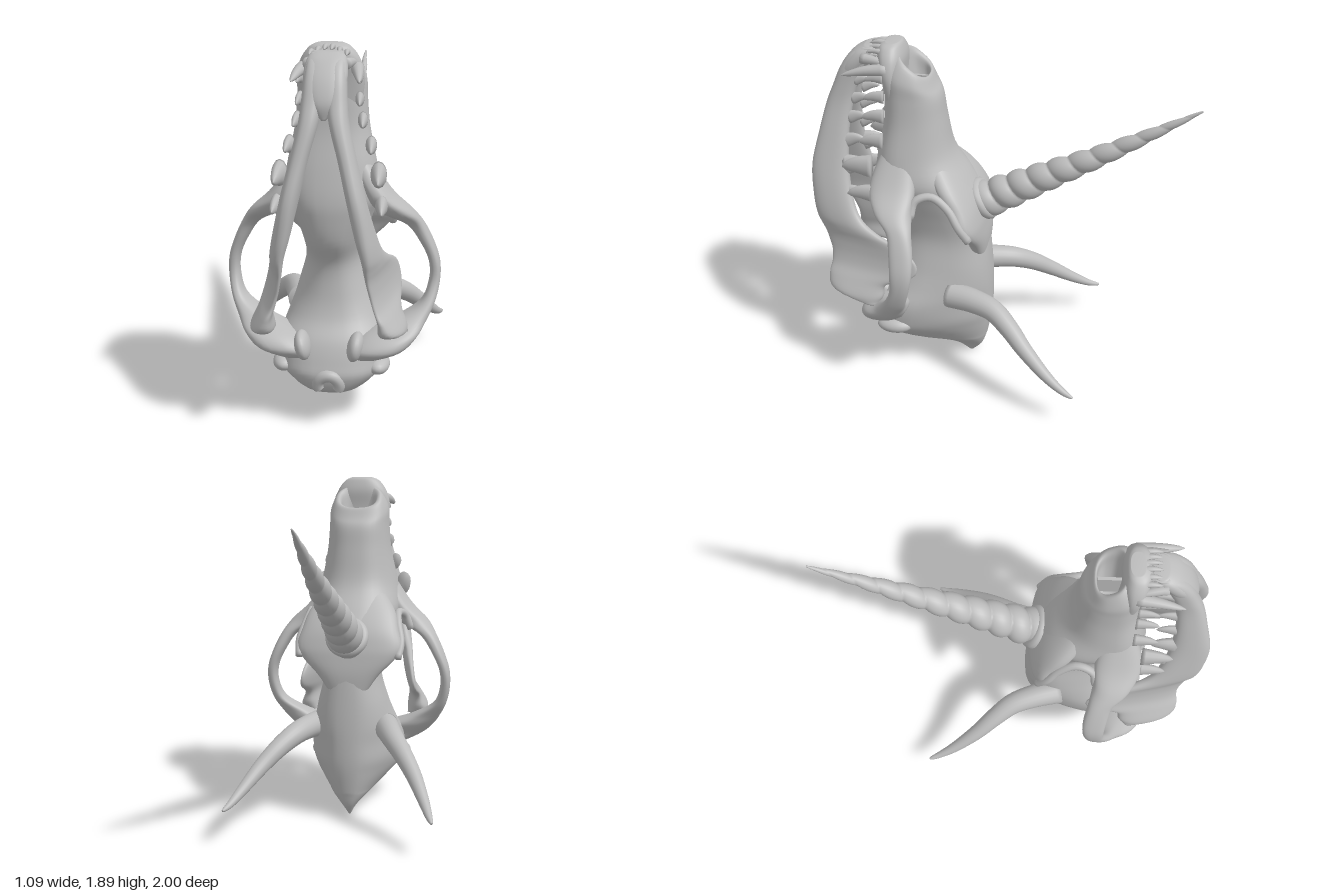
import * as THREE from 'three';

const bone = new THREE.MeshStandardMaterial({ color: 0xbcbcbc, side: THREE.DoubleSide });
bone.name = 'bone';

// Skin a list of closed rings, with fans closing both ends
function skin(rings) {
  const n = rings[0].length, pos = [], idx = [];
  const centre = r => r.reduce((a, p) => a.add(p), new THREE.Vector3()).divideScalar(n);
  rings.forEach(r => r.forEach(p => pos.push(p.x, p.y, p.z)));
  const last = rings.length - 1, c0 = rings.length * n;
  [centre(rings[0]), centre(rings[last])].forEach(p => pos.push(p.x, p.y, p.z));
  for (let j = 0; j < n; j++) {
    const k = (j + 1) % n;
    for (let i = 0; i < last; i++) {
      const a = i * n + j, b = a + n, c = i * n + k, d = c + n;
      idx.push(a, b, c, b, d, c);
    }
    idx.push(c0, j, k, c0 + 1, last * n + k, last * n + j);
  }
  const g = new THREE.BufferGeometry();
  g.setAttribute('position', new THREE.Float32BufferAttribute(pos, 3));
  g.setIndex(idx);
  g.computeVertexNormals();
  return g;
}

// Section: [y, centreX, zBack, zFront, halfWidth, taper, slope, lean]
function loft(sections, side = 1, steps = 5, n = 36) {
  const full = sections.map(s => Array.from({ length: 8 }, (_, i) => s[i] || 0));
  const at = i => full[Math.max(0, Math.min(full.length - 1, i))];
  const rings = [];
  for (let q = 0; q <= (full.length - 1) * steps; q++) {
    const i = Math.min(Math.floor(q / steps), full.length - 2), t = q / steps - i;
    const v = full[0].map((_, k) => {
      const a = at(i - 1)[k], b = at(i)[k], c = at(i + 1)[k], d = at(i + 2)[k];
      return b + 0.5 * t * (c - a + t * (2 * a - 5 * b + 4 * c - d + t * (3 * (b - c) + d - a)));
    });
    const [y, cx, zb, zf, rx, taper, slope, lean] = v;
    const ring = [], rz = (zf - zb) / 2;
    for (let j = 0; j < n; j++) {
      const th = j / n * Math.PI * 2, c = Math.cos(th), s = Math.sin(th);
      const px = Math.sign(c) * Math.abs(c) ** 0.82, pz = Math.sign(s) * Math.abs(s) ** 0.82;
      ring.push(new THREE.Vector3(side * (cx + lean * pz) + rx * px * (1 + taper * pz),
        y + slope * rz * pz, (zb + zf) / 2 + rz * pz));
    }
    rings.push(ring);
  }
  return skin(rings);
}

// Sweep a circle of radius(t, angle) along a smooth path
function sweep(points, radius, steps = 40, n = 20) {
  const curve = new THREE.CatmullRomCurve3(points.map(p => new THREE.Vector3(...p)));
  const f = curve.computeFrenetFrames(steps);
  const rings = [];
  for (let i = 0; i <= steps; i++) {
    const p = curve.getPointAt(i / steps), ring = [];
    for (let j = 0; j < n; j++) {
      const a = j / n * Math.PI * 2, r = radius(i / steps, a);
      ring.push(p.clone().addScaledVector(f.normals[i], r * Math.cos(a))
        .addScaledVector(f.binormals[i], -r * Math.sin(a)));
    }
    rings.push(ring);
  }
  return skin(rings);
}

export function createModel() {
  const model = new THREE.Group();
  const add = (name, geo) => {
    const m = new THREE.Mesh(geo, bone);
    m.name = name;
    model.add(m);
    return m;
  };
  const ball = (name, p, s) => {
    const m = add(name, new THREE.SphereGeometry(1, 20, 14));
    m.position.set(...p);
    m.scale.set(...s);
    return m;
  };
  // Curved tooth from base to tip; flat makes it a thin blade along the jaw
  const tooth = (name, base, tip, r, flat = 1) => {
    const mid = base.map((v, i) => (v + tip[i]) / 2);
    mid[1] += 0.008;
    const g = sweep([base, mid, tip], t => r * Math.sqrt(1 - t * 0.995), 8, 12);
    g.translate(-base[0], -base[1], -base[2]).scale(flat, 1, 1).translate(...base);
    add(name, g);
  };

  // Braincase and snout, ending in a folded-in nasal opening
  add('cranium', loft([
    [0, 0, 0.18, 0.2, 0.005], [0.06, 0, 0.125, 0.28, 0.04],
    [0.125, 0, 0.1, 0.42, 0.105, 0.1], [0.16, 0, 0.09, 0.66, 0.15, 0.15],
    [0.25, 0, 0.073, 0.725, 0.225, 0.28],
    [0.33, 0, 0.064, 0.715, 0.25, 0.25], [0.43, 0, 0.06, 0.68, 0.25, 0.25],
    [0.53, 0, 0.06, 0.62, 0.225, 0.1], [0.65, 0, 0.065, 0.59, 0.19, -0.05],
    [0.8, 0, 0.075, 0.59, 0.152, -0.12],
    [0.93, 0, 0.09, 0.66, 0.165, -0.1], [1.06, 0, 0.12, 0.685, 0.205],
    [1.16, 0, 0.175, 0.685, 0.238, 0.05], [1.3, 0, 0.263, 0.66, 0.215, 0.14],
    [1.48, 0, 0.3, 0.62, 0.18, 0.12], [1.62, 0, 0.318, 0.61, 0.168, 0.1, 0.1],
    [1.71, 0, 0.345, 0.6, 0.164, 0.05, 0.4], [1.775, 0, 0.37, 0.535, 0.13, 0, 0.8],
    [1.765, 0, 0.387, 0.52, 0.1, 0, 0.8], [1.68, 0, 0.39, 0.51, 0.088, 0, 0.7],
    [1.56, 0, 0.4, 0.5, 0.06]]));
  add('premaxilla', loft([
    [1.58, 0, 0.5, 0.6, 0.14], [1.72, 0, 0.505, 0.615, 0.162],
    [1.81, 0, 0.5, 0.635, 0.142], [1.87, 0, 0.515, 0.63, 0.1], [1.89, 0, 0.53, 0.6, 0.06]]));
  const septum = add('nasalSeptum', new THREE.BoxGeometry(0.016, 0.14, 0.12));
  septum.position.set(0, 1.64, 0.45);

  // Broad forehead over the eye sockets
  add('forehead', loft([
    [0.66, 0, 0.085, 0.17, 0.07], [0.8, 0, 0.073, 0.18, 0.16],
    [0.9, 0, 0.08, 0.2, 0.255], [0.97, 0, 0.092, 0.24, 0.293],
    [1.06, 0, 0.122, 0.28, 0.27], [1.16, 0, 0.185, 0.35, 0.238], [1.28, 0, 0.285, 0.42, 0.15]]));

  // Arched rim of the spinal opening at the skull base
  const rim = add('spinalOpening', new THREE.TorusGeometry(0.052, 0.032, 12, 24, Math.PI * 1.3));
  rim.position.set(0, 0.225, 0.7);
  rim.rotation.set(0.3, 0, -Math.PI * 0.15);

  for (const s of [1, -1]) {
    const side = s > 0 ? 'left' : 'right';

    add(side + 'CheekArch', loft([
      [0.35, 0.18, 0.5, 0.69, 0.08], [0.4, 0.23, 0.5, 0.74, 0.135],
      [0.46, 0.295, 0.47, 0.71, 0.135], [0.52, 0.385, 0.46, 0.62, 0.085],
      [0.6, 0.472, 0.43, 0.55, 0.038], [0.7, 0.505, 0.4, 0.5, 0.028],
      [0.8, 0.503, 0.38, 0.495, 0.028], [0.9, 0.465, 0.38, 0.505, 0.034],
      [1.0, 0.405, 0.4, 0.53, 0.046], [1.08, 0.31, 0.42, 0.62, 0.085],
      [1.18, 0.225, 0.42, 0.66, 0.066], [1.36, 0.125, 0.45, 0.6, 0.05]], s));

    add(side + 'BrowRidge', sweep([[s * 0.31, 1.04, 0.43], [s * 0.275, 1.12, 0.41],
      [s * 0.25, 1.14, 0.33], [s * 0.262, 1.08, 0.24], [s * 0.285, 0.99, 0.18],
      [s * 0.275, 0.91, 0.13]], () => 0.022, 24, 12));

    // Processes around the skull base
    ball(side + 'EarBulla', [s * 0.13, 0.42, 0.68], [0.04, 0.075, 0.085]).rotation.z = -s * 0.2;
    ball(side + 'Mastoid', [s * 0.235, 0.29, 0.57], [0.06, 0.045, 0.1]);

    // Side horn, curling back and down
    add(side + 'SideHorn', sweep([[s * 0.19, 0.505, 0.26], [s * 0.23, 0.507, 0.12],
      [s * 0.275, 0.49, 0], [s * 0.34, 0.435, -0.1], [s * 0.41, 0.355, -0.2],
      [s * 0.485, 0.25, -0.34], [s * 0.522, 0.2, -0.43], [s * 0.54, 0.185, -0.48]],
    t => 0.066 * (1 - t) ** 0.65 + 0.007));

    // Lower jaw arm, its rear blade rising behind the cheek arch
    add(side + 'JawArm', loft([
      [0.508, 0.325, 0.61, 0.7, 0.06], [0.55, 0.315, 0.59, 0.885, 0.06, 0, 0, -0.02],
      [0.62, 0.3, 0.57, 0.912, 0.036, 0, 0, -0.03], [0.68, 0.288, 0.43, 0.902, 0.026, 0, 0, -0.045],
      [0.74, 0.275, 0.4, 0.903, 0.024, 0, 0, -0.05], [0.8, 0.262, 0.44, 0.92, 0.024, 0, 0, -0.05],
      [0.845, 0.25, 0.52, 0.935, 0.026, 0, 0, -0.045],
      [0.89, 0.237, 0.63, 0.955, 0.03, 0, 0, -0.035], [0.95, 0.22, 0.72, 0.978, 0.036, 0, 0, -0.02],
      [1.05, 0.193, 0.77, 0.995, 0.042, 0, 0, -0.01], [1.22, 0.152, 0.8, 1, 0.043],
      [1.4, 0.11, 0.8, 0.96, 0.042], [1.55, 0.072, 0.78, 0.92, 0.045],
      [1.65, 0.058, 0.755, 0.88, 0.047], [1.75, 0.053, 0.715, 0.835, 0.045],
      [1.82, 0.05, 0.68, 0.78, 0.038], [1.86, 0.045, 0.64, 0.71, 0.03]], s));

    // Cheek teeth: [y, upper x, size]
    [[1.73, 0.138, 0.03], [1.63, 0.14, 0.036], [1.53, 0.155, 0.041], [1.41, 0.195, 0.046],
      [1.28, 0.235, 0.066], [1.13, 0.25, 0.052]].forEach(([y, x, r], i) => {
      const zb = i > 3 ? 0.645 : 0.59;
      tooth(side + 'UpperCheekTooth' + (i + 1), [s * x, y, zb],
        [s * (x + 0.012), y - 0.012, zb + 0.045 + r * 1.7], r, 0.6);
      const ly = y - 0.05, jx = 0.075 + 0.23 * Math.max(0, 1.55 - ly);
      const lz = Math.min(0.815, 0.815 - (ly - 1.4) * 0.2);
      tooth(side + 'LowerCheekTooth' + (i + 1), [s * jx, ly, lz],
        [s * (jx + 0.01), ly + 0.015, lz - 0.06 - r], r * 0.9, 0.55);
    });
    tooth(side + 'UpperCanine', [s * 0.125, 1.775, 0.57], [s * 0.155, 1.74, 0.8], 0.034);
    tooth(side + 'LowerCanine', [s * 0.085, 1.81, 0.71], [s * 0.125, 1.785, 0.525], 0.028);
    for (let i = 0; i < 3; i++) {
      const x = s * (0.016 + i * 0.033), y = 1.87 - i * 0.012;
      tooth(side + 'UpperIncisor' + (i + 1), [x, y, 0.59], [x * 1.05, y, 0.685], 0.018);
      tooth(side + 'LowerIncisor' + (i + 1), [x * 0.8, y - 0.03, 0.68], [x * 0.85, y - 0.025, 0.61], 0.014);
    }
  }

  // Chin joining both jaw arms
  add('chin', loft([
    [1.575, 0, 0.8, 0.87, 0.012], [1.65, 0, 0.755, 0.88, 0.075], [1.75, 0, 0.71, 0.84, 0.1],
    [1.83, 0, 0.65, 0.775, 0.092], [1.865, 0, 0.635, 0.71, 0.065]]));

  // Spiral centre horn and the collar at its root
  const turns = 11;
  add('spiralHorn', sweep([[0, 0.99, 0.16], [0, 1.06, 0.02], [0.01, 1.2, -0.23],
    [0.022, 1.35, -0.5], [0.03, 1.5, -0.75], [0.035, 1.655, -1]],
  (t, a) => (0.104 * (1 - t) ** 0.85 + 0.004)
    * (0.8 + 0.24 * Math.abs(Math.sin(Math.PI * (turns * t ** 0.92 + a / (2 * Math.PI)))) ** 0.7), 170, 28));
  const collar = add('hornCollar', new THREE.TorusGeometry(0.088, 0.032, 12, 32));
  collar.position.set(0, 1.025, 0.105);
  collar.lookAt(0, 1.545, -0.745);

  return model;
}
